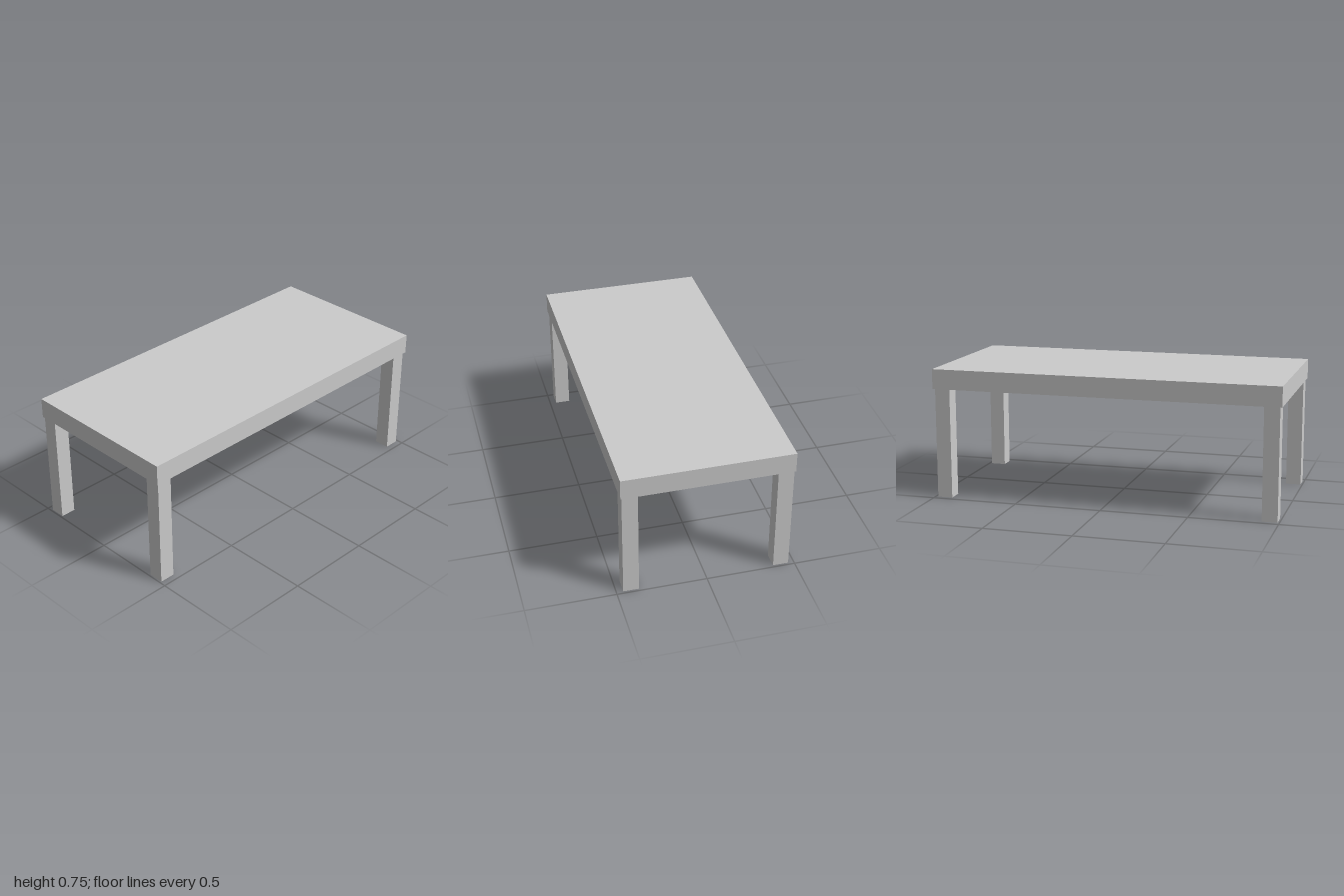
import * as THREE from 'three';

const material = new THREE.MeshStandardMaterial({ color: 0xcccccc, flatShading: true });

// Box placed by its centre in x and z and by its underside in y
function box(name, w, h, d, x, y, z) {
  const mesh = new THREE.Mesh(new THREE.BoxGeometry(w, h, d), material);
  mesh.name = name;
  mesh.position.set(x, y + h / 2, z);
  return mesh;
}

export function createModel() {
  const table = new THREE.Group();
  table.name = 'table';

  const legHeight = 0.632;
  const legSize = 0.087;

  // Thick slab top
  table.add(box('tableTop', 0.942, 0.114, 2, 0, legHeight, 0));

  // Four square legs, set just inside the corners
  for (const [side, x] of [['Left', 0.419], ['Right', -0.424]]) {
    for (const [end, z] of [['front', 0.946], ['back', -0.942]]) {
      table.add(box(`${end}${side}Leg`, legSize, legHeight, legSize, x, 0, z));
    }
  }
  return table;
}
